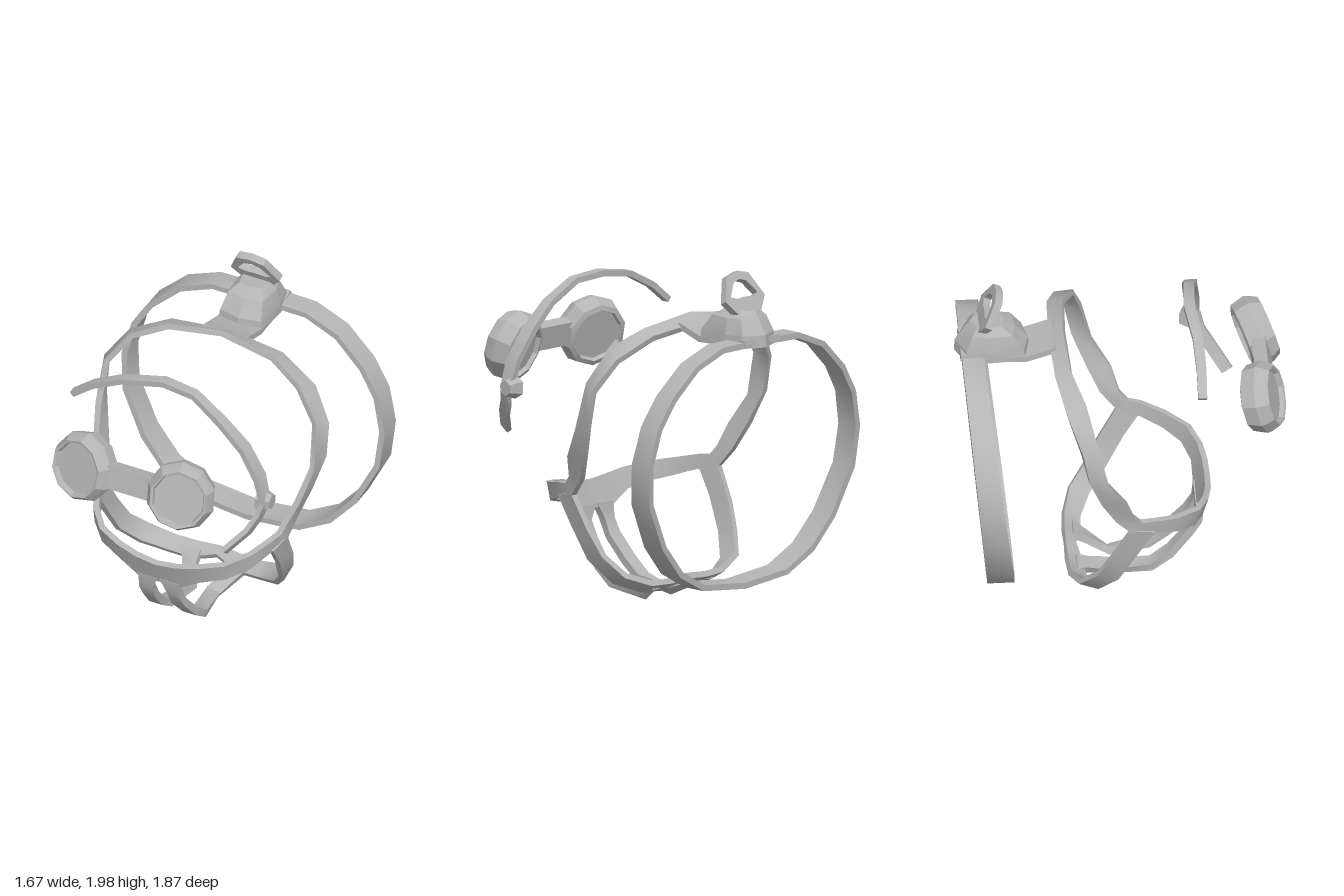
import * as THREE from 'three';
import { toCreasedNormals } from 'three/addons/utils/BufferGeometryUtils.js';

const grey = new THREE.MeshStandardMaterial({ color: 0xb4b4b4 });
grey.name = 'grey';

// Skin a list of equal-sized vertex rings; faces are turned outward by signed volume
function loft(rings, closed = false, crease = 0.7) {
  const n = rings[0].length, m = rings.length, tris = [];
  const quad = (a, b, c, d) => tris.push([a, b, c], [a, c, d]);
  for (let i = 0; i < (closed ? m : m - 1); i++) {
    const p = rings[i], q = rings[(i + 1) % m];
    for (let j = 0; j < n; j++) {
      const k = (j + 1) % n;
      quad(p[j], p[k], q[k], q[j]);
    }
  }
  if (!closed) {
    const f = rings[0], l = rings[m - 1];
    for (let j = 1; j < n - 1; j++) tris.push([f[0], f[j + 1], f[j]], [l[0], l[j], l[j + 1]]);
  }
  const o = rings[0][0];
  let volume = 0;
  for (const [a, b, c] of tris) {
    volume += a.clone().sub(o).dot(b.clone().sub(o).cross(c.clone().sub(o)));
  }
  const pos = [];
  for (const [a, b, c] of tris) {
    for (const v of volume < 0 ? [a, c, b] : [a, b, c]) pos.push(v.x, v.y, v.z);
  }
  const g = new THREE.BufferGeometry();
  g.setAttribute('position', new THREE.Float32BufferAttribute(pos, 3));
  return toCreasedNormals(g, crease);
}

// Flat band: each row holds its two edge points [ax, ay, az, bx, by, bz]
function strap(rows, thickness, closed = false) {
  const A = rows.map(r => new THREE.Vector3(r[0], r[1], r[2]));
  const B = rows.map(r => new THREE.Vector3(r[3], r[4], r[5]));
  const mid = A.map((a, i) => a.clone().add(B[i]).multiplyScalar(0.5));
  const m = rows.length;
  const rings = rows.map((_, i) => {
    const prev = closed ? (i + m - 1) % m : Math.max(i - 1, 0);
    const next = closed ? (i + 1) % m : Math.min(i + 1, m - 1);
    const nrm = mid[next].clone().sub(mid[prev]).cross(B[i].clone().sub(A[i]));
    nrm.setLength(thickness / 2);
    return [A[i].clone().add(nrm), B[i].clone().add(nrm), B[i].clone().sub(nrm), A[i].clone().sub(nrm)];
  });
  return loft(rings, closed);
}

const flip = r => [-r[0], r[1], r[2], -r[3], r[4], r[5]];
// Half path starting on x = 0 becomes a full path; a closed one also ends on x = 0
const both = (half, closed) =>
  [...half.slice(1, closed ? -1 : undefined).reverse().map(flip), ...half];

export function createModel() {
  const model = new THREE.Group();
  model.name = 'harness';
  const add = (name, geometry, parent = model) => {
    const mesh = new THREE.Mesh(geometry, grey);
    mesh.name = name;
    parent.add(mesh);
    return mesh;
  };

  // Rear collar
  const collar = [[0, 1.615], [0.3, 1.61], [0.5, 1.53], [0.67, 1.37], [0.77, 1.21], [0.82, 1],
    [0.8, 0.77], [0.67, 0.5], [0.52, 0.325], [0.33, 0.22], [0, 0.185]]
    .map(([x, y]) => [x, y, -0.585 - 0.112 * y, x, y, -0.748 - 0.09 * y]);
  add('collar', strap(both(collar, true), 0.035, true));

  // Strap over the head and down both cheeks
  add('headStrap', strap(both([
    [0, 1.69, -0.305, 0, 1.645, -0.385],
    [0.33, 1.64, -0.285, 0.35, 1.61, -0.375],
    [0.53, 1.55, -0.215, 0.58, 1.5, -0.32],
    [0.66, 1.36, -0.165, 0.7, 1.33, -0.25],
    [0.68, 1.1, -0.1, 0.7, 1.13, -0.21],
    [0.64, 0.92, 0.01, 0.65, 0.94, -0.135],
    [0.585, 0.79, 0.05, 0.6, 0.78, -0.055],
    [0.565, 0.72, 0.11, 0.58, 0.67, 0.04],
  ]), 0.035));

  // Band around the nose
  add('noseBand', strap(both([
    [0, 0.61, 0.51, 0, 0.455, 0.455],
    [0.13, 0.625, 0.505, 0.13, 0.455, 0.455],
    [0.25, 0.65, 0.485, 0.25, 0.53, 0.45],
    [0.385, 0.675, 0.43, 0.385, 0.565, 0.4],
    [0.49, 0.7, 0.3, 0.48, 0.6, 0.3],
    [0.55, 0.73, 0.17, 0.54, 0.645, 0.17],
    [0.575, 0.74, 0.07, 0.57, 0.65, 0.05],
  ]), 0.035));

  // Strap down the jaw and under the chin
  add('chinStrap', strap(both([
    [0, 0.155, -0.24, 0, 0.175, -0.3],
    [0.14, 0.11, -0.21, 0.14, 0.165, -0.3],
    [0.28, 0.12, -0.2, 0.28, 0.17, -0.29],
    [0.43, 0.18, -0.135, 0.44, 0.23, -0.245],
    [0.52, 0.31, -0.03, 0.52, 0.34, -0.15],
    [0.55, 0.505, 0.075, 0.56, 0.49, -0.07],
    [0.555, 0.66, 0.17, 0.58, 0.69, 0.04],
  ]), 0.035));

  // Twin strips from nose band to chin
  const strip = [
    [0.005, 0.48, 0.46, 0.13, 0.48, 0.46],
    [0.05, 0.39, 0.45, 0.13, 0.38, 0.45],
    [0.05, 0.29, 0.4, 0.13, 0.3, 0.4],
    [0.065, 0.165, 0.29, 0.15, 0.165, 0.29],
    [0.065, 0.08, 0.18, 0.15, 0.08, 0.18],
    [0.035, 0.07, -0.04, 0.11, 0.035, -0.055],
    [0.09, 0.12, -0.18, 0.19, 0.115, -0.2],
    [0.1, 0.145, -0.25, 0.24, 0.14, -0.25],
  ];
  add('leftChinStrip', strap(strip, 0.045));
  add('rightChinStrip', strap(strip.map(flip), 0.045));

  // Strap joining head strap and collar
  add('crownStrap', strap([[-0.36, 1.655], [-0.53, 1.6], [-0.66, 1.605], [-0.9, 1.625]]
    .map(([z, y]) => [-0.14, y, z, 0.14, y, z]), 0.035));

  // Faceted mount on the crown
  const outline = (y, pts) => [...pts, ...pts.slice(1, -1).reverse().map(([x, z]) => [-x, z])]
    .map(([x, z]) => new THREE.Vector3(x, y, z));
  add('crownMount', loft([
    outline(1.59, [[0, -0.5], [0.135, -0.53], [0.15, -0.75], [0.13, -0.87], [0, -0.93]]),
    outline(1.66, [[0, -0.51], [0.13, -0.54], [0.15, -0.75], [0.125, -0.865], [0, -0.925]]),
    outline(1.75, [[0, -0.585], [0.11, -0.605], [0.125, -0.74], [0.1, -0.83], [0, -0.87]]),
    outline(1.79, [[0, -0.65], [0.07, -0.665], [0.085, -0.74], [0.07, -0.8], [0, -0.84]]),
  ], false, 0.3));

  // Tilted leash ring
  const ringZ = y => -0.665 - (2 - y) * 0.48;
  const ring = [[0, 1.99, 0, 1.945], [0.085, 1.97, 0.05, 1.93], [0.155, 1.84, 0.105, 1.86],
    [0.08, 1.75, 0.06, 1.845], [0, 1.75, 0, 1.85]]
    .map(([x, y, u, v]) => [x, y, ringZ(y), u, v, ringZ(v)]);
  add('leashRing', strap(both(ring, true), 0.045, true));

  // Headset band, ear hub and microphone arm
  add('headsetBand', strap([[-0.56, 1.585, 0.47, 0.42], [-0.43, 1.69, 0.475, 0.42],
    [-0.25, 1.78, 0.47, 0.41], [0, 1.825, 0.44, 0.375], [0.2, 1.81, 0.45, 0.39],
    [0.38, 1.7, 0.48, 0.41], [0.53, 1.56, 0.49, 0.405], [0.635, 1.4, 0.51, 0.42],
    [0.675, 1.25, 0.515, 0.44]].map(([x, y, a, b]) => [x, y, a, x, y, b]), 0.035));
  const hub = new THREE.CylinderGeometry(0.045, 0.072, 0.08, 6);
  hub.rotateY(Math.PI / 6).rotateZ(-Math.PI / 2);
  add('earHub', toCreasedNormals(hub, 0.5)).position.set(0.67, 1.25, 0.458);
  add('microphoneArm', strap([[0.675, 1.24, 0.49], [0.65, 1.16, 0.51], [0.61, 1.08, 0.565],
    [0.505, 0.965, 0.66]].map(([x, y, z]) => [x, y + 0.02, z + 0.027, x, y - 0.02, z - 0.027]), 0.03));

  // Goggles: two ten-sided cups with inset lenses on both faces
  const profile = [[0, -0.06], [0.15, -0.06], [0.16, -0.085], [0.19, -0.075], [0.21, 0.01],
    [0.2, 0.04], [0.175, 0.085], [0.16, 0.08], [0.152, 0.055], [0, 0.055]]
    .map(([r, h]) => new THREE.Vector2(r, h));
  const cup = toCreasedNormals(
    new THREE.LatheGeometry(profile, 10).rotateX(Math.PI / 2).scale(0.97, 1, 1), 0.4);
  const goggles = new THREE.Group();
  goggles.name = 'goggles';
  model.add(goggles);
  for (const side of [-1, 1]) {
    const mesh = add(side > 0 ? 'leftGoggle' : 'rightGoggle', cup, goggles);
    mesh.position.set(side * 0.307, 1.39, 0.803);
    mesh.rotation.set(-0.26, side * 0.24, 0, 'YXZ');
  }
  add('goggleBridge', strap([-0.15, -0.1, 0.1, 0.15]
    .map(x => [x, 1.472, 0.81, x, 1.335, 0.845]), 0.08), goggles);

  return model;
}
